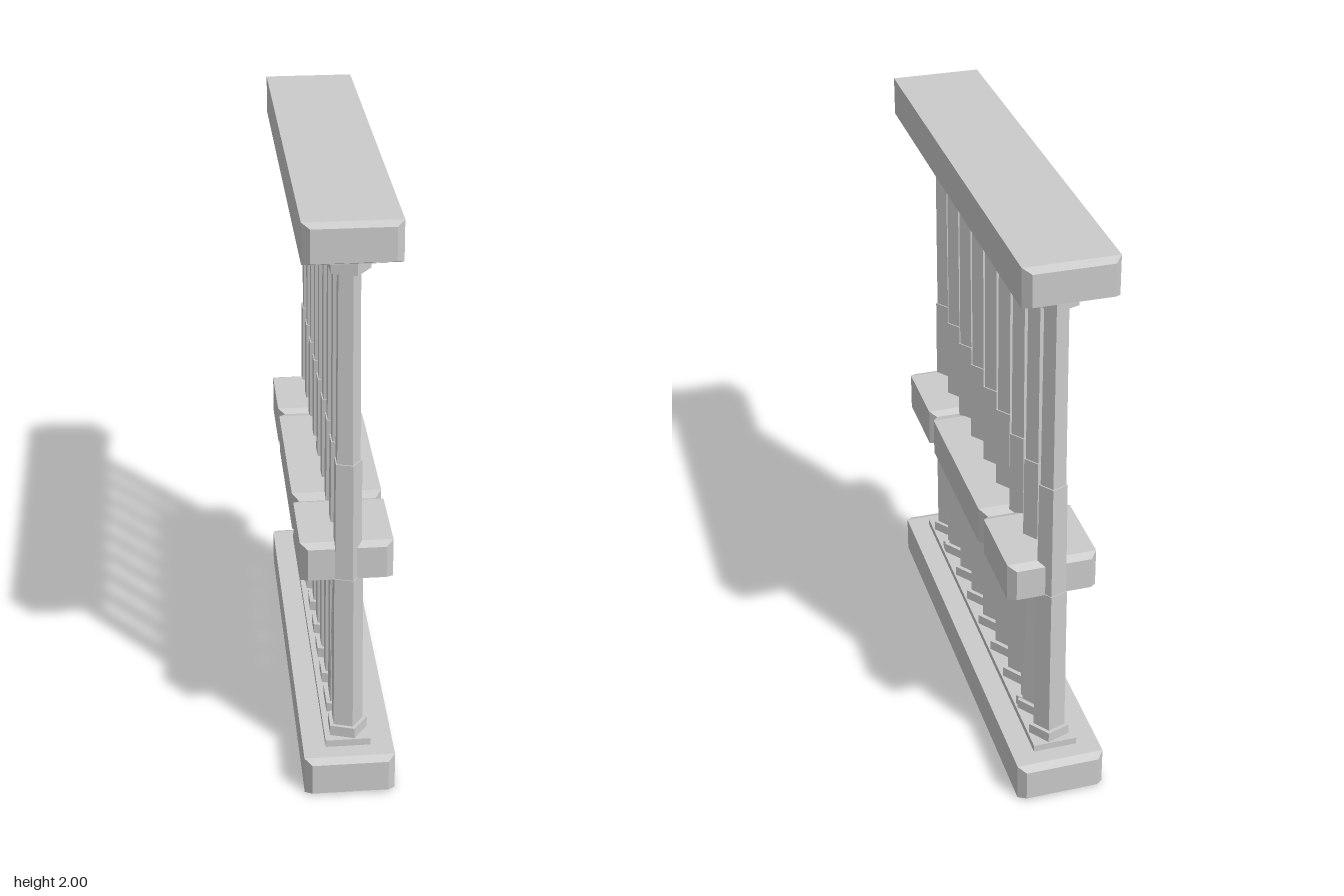
import * as THREE from 'three';

const material = new THREE.MeshStandardMaterial({ color: 0xcccccc, flatShading: true });

function add(parent, name, geometry, x, y, z) {
  const mesh = new THREE.Mesh(geometry, material);
  mesh.name = name;
  mesh.position.set(x, y, z);
  parent.add(mesh);
  return mesh;
}

// Long beam from z0 to z1 whose end caps taper inward; c0 and c1 are the taper lengths
function beam(parent, name, width, y0, y1, z0, z1, c0, c1) {
  const h = y1 - y0, len = z1 - z0;
  const geometry = new THREE.BoxGeometry(width, h, len, 1, 1, 3);
  const p = geometry.attributes.position;
  for (let i = 0; i < p.count; i++) {
    const t = Math.round((p.getZ(i) / len + 0.5) * 3);
    p.setZ(i, [-len / 2, -len / 2 + c0, len / 2 - c1, len / 2][t]);
    if (t === 0 || t === 3) {
      p.setX(i, Math.sign(p.getX(i)) * (width / 2 - 0.024));
      p.setY(i, Math.sign(p.getY(i)) * (h / 2 - 0.012));
    }
  }
  geometry.computeVertexNormals();
  return add(parent, name, geometry, 0, (y0 + y1) / 2, (z0 + z1) / 2);
}

// Five-sided column section with one corner facing +x
function section(parent, name, rTop, rBottom, y0, y1, z) {
  const geometry = new THREE.CylinderGeometry(rTop, rBottom, y1 - y0, 5, 1, false, Math.PI / 2);
  return add(parent, name, geometry, 0, (y0 + y1) / 2, z);
}

function plate(parent, name, y0, y1, z0, z1) {
  return add(parent, name, new THREE.BoxGeometry(0.15, y1 - y0, z1 - z0), 0, (y0 + y1) / 2, (z0 + z1) / 2);
}

export function createModel() {
  const model = new THREE.Group();
  model.name = 'railing';

  // Bottom and top rails with their thin bearing plates
  beam(model, 'bottomRail', 0.3, 0, 0.135, -0.785, 0.785, 0.028, 0.028);
  beam(model, 'topRail', 0.3, 1.87, 2, -0.785, 0.785, 0.028, 0.028);
  plate(model, 'bottomPlate', 0.13, 0.16, -0.7, 0.7);
  plate(model, 'topPlate', 1.845, 1.875, -0.7, 0.7);

  // Middle rail in three pieces
  beam(model, 'middleRailCentre', 0.3, 0.74, 0.875, -0.335, 0.335, 0.042, 0.042);
  beam(model, 'middleRailFrontEnd', 0.3, 0.74, 0.875, 0.33, 0.655, 0.028, 0.028);
  beam(model, 'middleRailBackEnd', 0.3, 0.74, 0.875, -0.655, -0.33, 0.028, 0.028);
  plate(model, 'middlePlateCentre', 0.715, 0.745, -0.235, 0.235);
  plate(model, 'middlePlateFront', 0.715, 0.745, 0.418, 0.572);
  plate(model, 'middlePlateBack', 0.715, 0.745, -0.572, -0.418);

  // Nine stepped columns with collars at both ends
  for (let i = -4; i <= 4; i++) {
    const z = i * 0.157;
    const column = new THREE.Group();
    column.name = 'column';
    const r = Math.abs(i) === 4 ? 0.055 : 0.052;
    section(column, 'baseCollar', 0.07, 0.07, 0.155, 0.197, z);
    section(column, 'lowerShaft', r - 0.002, r, 0.19, 0.755, z);
    section(column, 'middleShaft', 0.047, 0.05, 0.75, 1.165, z);
    section(column, 'upperShaft', 0.039, 0.042, 1.16, 1.81, z);
    section(column, 'topCollar', 0.07, 0.07, 1.805, 1.85, z);
    if (Math.abs(i) < 2) section(column, 'middleCollar', 0.07, 0.07, 0.68, 0.72, z);
    model.add(column);
  }

  // Short columns under the end pieces of the middle rail
  for (const side of [-1, 1]) {
    const z = side * 0.493;
    const column = new THREE.Group();
    column.name = 'shortColumn';
    section(column, 'baseCollar', 0.07, 0.07, 0.155, 0.195, z);
    section(column, 'shaft', 0.041, 0.053, 0.19, 0.69, z);
    section(column, 'middleCollar', 0.07, 0.07, 0.68, 0.72, z);
    model.add(column);
  }
  return model;
}
